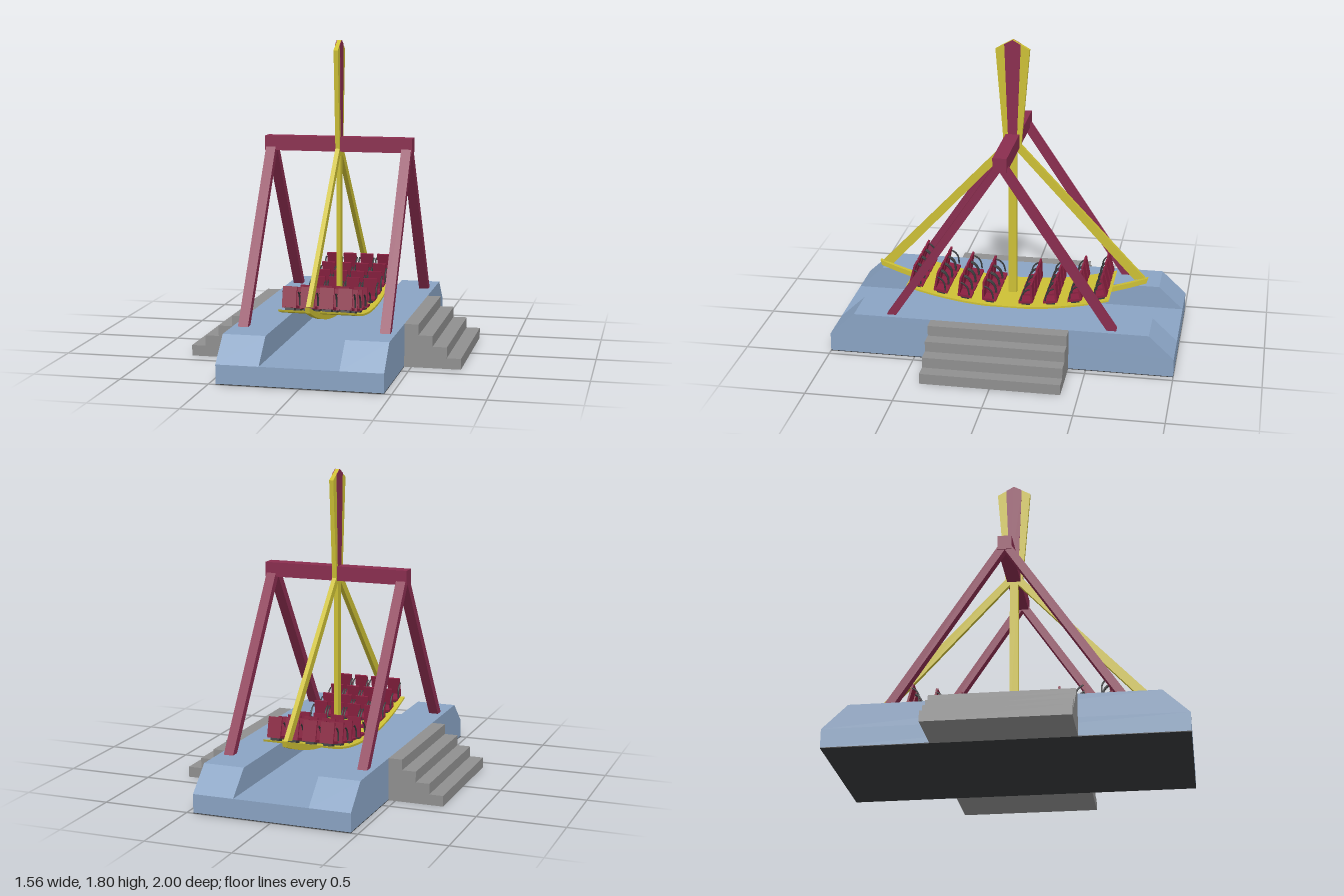
import * as THREE from 'three';

const mat = (name, color) => {
  const m = new THREE.MeshStandardMaterial({ color });
  m.name = name;
  return m;
};

export function createModel() {
  const model = new THREE.Group();
  model.name = 'pendulumRide';
  const blue = mat('platform blue', 0x8aa4c4);
  const grey = mat('step grey', 0x909090);
  const yellow = mat('swing yellow', 0xcdc035);
  const maroon = mat('frame maroon', 0x8a2d4f);
  const red = mat('seat red', 0x8a2040);
  const dark = mat('dark grey', 0x383a3c);

  const add = (parent, name, geo, material, x = 0, y = 0, z = 0) => {
    const m = new THREE.Mesh(geo, material);
    m.name = name;
    m.position.set(x, y, z);
    parent.add(m);
    return m;
  };
  const box = (w, h, d) => new THREE.BoxGeometry(w, h, d);
  const shapeOf = (pts) => new THREE.Shape(pts.map((p) => new THREE.Vector2(p[0], p[1])));
  // Outline given as [z, y], extruded to a width centred on x = 0
  const slab = (pts, width) => {
    const g = new THREE.ExtrudeGeometry(shapeOf(pts), { depth: width, bevelEnabled: false });
    return g.rotateY(-Math.PI / 2).translate(width / 2, 0, 0);
  };

  // Base with a channel between two raised, ramped decks
  const base = new THREE.Group();
  base.name = 'base';
  model.add(base);
  add(base, 'underside', box(0.92, 0.004, 2), dark, 0, 0.002);
  add(base, 'floorSlab', box(0.92, 0.106, 2), blue, 0, 0.057);
  const deck = slab([[-1, 0.11], [1, 0.11], [0.855, 0.245], [-0.855, 0.245]], 0.24);
  for (const s of [1, -1]) add(base, s > 0 ? 'leftDeck' : 'rightDeck', deck, blue, s * 0.34);

  // Four-step stairs on both sides
  const profile = [[0.46, 0]];
  for (let i = 0; i < 4; i++) {
    const h = 0.245 * (i + 1) / 4;
    profile.push([0.78 - 0.08 * i, 0.245 * i / 4], [0.78 - 0.08 * i, h]);
  }
  profile.push([0.46, 0.245]);
  const stairs = new THREE.ExtrudeGeometry(shapeOf(profile), { depth: 0.8, bevelEnabled: false });
  stairs.translate(0, 0, -0.4);
  add(base, 'leftStairs', stairs, grey);
  add(base, 'rightStairs', stairs, grey).rotation.y = Math.PI;

  // A-frame supports and top beam
  const frame = new THREE.Group();
  frame.name = 'supportFrame';
  model.add(frame);
  add(frame, 'topBeam', box(0.87, 0.084, 0.08), maroon, 0, 1.203);
  const leg = slab([[0.612, 0.245], [0.667, 0.245], [0.028, 1.2], [-0.027, 1.2]], 0.057);
  for (const s of [1, -1]) {
    add(frame, 'frontLeg', leg, maroon, s * 0.4);
    add(frame, 'backLeg', leg, maroon, s * 0.4).rotation.y = Math.PI;
  }

  // Swinging part: curved keel and floor follow the same arc
  const swing = new THREE.Group();
  swing.name = 'swing';
  model.add(swing);
  const arc = (z) => 0.245 + 0.24 * z * z;
  const slope = (z) => Math.atan(0.48 * z);
  const curved = (half, thick, lift, width) => {
    const top = [], bottom = [], n = 16;
    for (let i = 0; i <= n; i++) {
      const z = -half + 2 * half * i / n, a = slope(z), y = arc(z) + lift;
      top.unshift([z, y]);
      bottom.push([z + Math.sin(a) * thick, y - Math.cos(a) * thick]);
    }
    // keep the underside inside the ends
    for (const p of bottom) p[0] *= (half - 0.25 * thick) / (half + 0.36 * thick);
    return slab([...bottom, ...top], width);
  };
  add(swing, 'keel', curved(0.805, 0.035, 0, 0.025), yellow);
  add(swing, 'floor', curved(0.6, 0.012, 0.006, 0.43), yellow);

  // Hanging arms
  add(swing, 'centreArm', box(0.025, 0.96, 0.05), yellow, 0, 0.72);
  const brace = slab([[0.725, 0.385], [0.785, 0.4], [0.05, 1.18], [0.0, 1.17]], 0.025);
  add(swing, 'frontArm', brace, yellow);
  add(swing, 'backArm', brace, yellow).rotation.y = Math.PI;

  // Counterweight fin with a stripe on each face
  add(swing, 'counterweight', slab([[-0.05, 1.17], [0.05, 1.17], [0.098, 1.748], [0, 1.803], [-0.098, 1.748]], 0.025), yellow);
  const stripe = slab([[-0.025, 1.2], [0.025, 1.2], [0.047, 1.777], [0, 1.803], [-0.047, 1.777]], 0.003);
  for (const s of [1, -1]) add(swing, 'counterweightStripe', stripe, maroon, s * 0.0135);

  // Seats: rows face the middle of the swing
  const cushion = box(0.08, 0.014, 0.08);
  const back = box(0.08, 0.115, 0.012);
  const mount = box(0.05, 0.016, 0.05);
  const barPath = new THREE.CatmullRomCurve3([
    new THREE.Vector3(0, 0.095, 0.034),
    new THREE.Vector3(0, 0.088, 0.012),
    new THREE.Vector3(0, 0.066, -0.012),
    new THREE.Vector3(0, 0.022, -0.026),
  ]);
  const bar = new THREE.TubeGeometry(barPath, 8, 0.005, 6);
  const makeSeat = () => {
    const seat = new THREE.Group();
    seat.name = 'seat';
    add(seat, 'seatMount', mount, dark, 0, 0.01);
    add(seat, 'seatCushion', cushion, red, 0, 0.024);
    add(seat, 'seatBack', back, red, 0, 0.078, 0.038);
    for (const s of [1, -1]) add(seat, 'restraintBar', bar, dark, s * 0.045, 0.014);
    return seat;
  };
  for (const side of [1, -1]) {
    const half = new THREE.Group();
    half.name = side > 0 ? 'frontSeats' : 'backSeats';
    if (side < 0) half.rotation.y = Math.PI;
    swing.add(half);
    for (const z of [0.108, 0.255, 0.4, 0.548]) {
      for (const x of [-0.158, -0.053, 0.053, 0.158]) {
        const seat = makeSeat();
        seat.position.set(x, arc(z) + 0.004, z);
        seat.rotation.x = -slope(z);
        half.add(seat);
      }
    }
  }
  return model;
}
